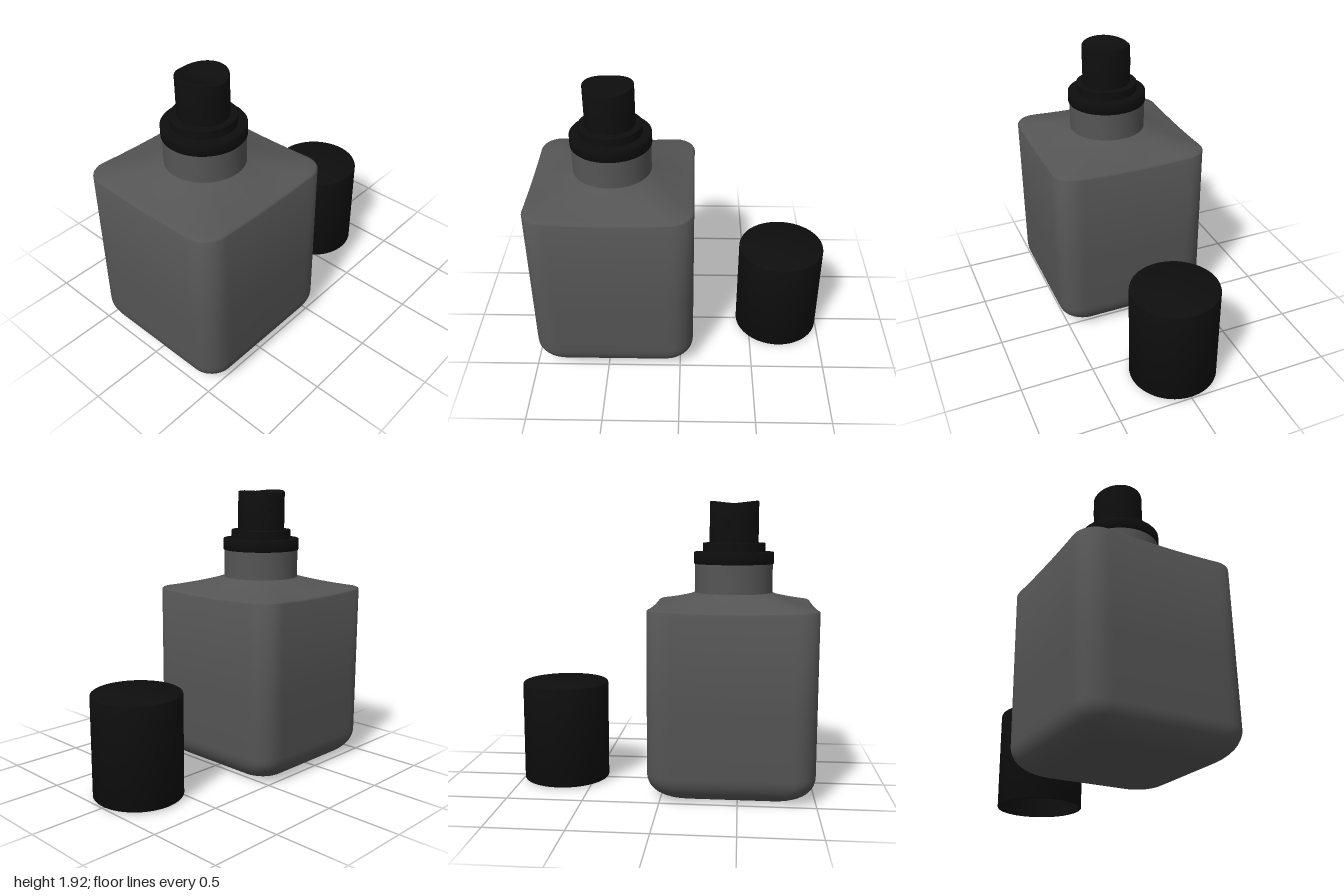
import * as THREE from 'three';
import { toCreasedNormals } from 'three/addons/utils/BufferGeometryUtils.js';

const BOTTLE_Z = 0.455, HALF = 0.543, NECK_R = 0.26;
const glass = new THREE.MeshStandardMaterial({ color: 0x555555, side: THREE.DoubleSide });
const black = new THREE.MeshStandardMaterial({ color: 0x0e0e0e, side: THREE.DoubleSide });

function part(name, geometry, material, crease = 0.7) {
  const mesh = new THREE.Mesh(toCreasedNormals(geometry, crease), material);
  mesh.name = name;
  return mesh;
}

// Turned part from [radius, height] pairs, outer side going up
function turned(points, segments = 64) {
  return new THREE.LatheGeometry(points.map(([r, y]) => new THREE.Vector2(r, y)), segments);
}

// Distance from the centre to the edge of a rounded square along an angle
function squareRadius(angle, half, corner) {
  let c = Math.abs(Math.cos(angle)), s = Math.abs(Math.sin(angle));
  if (s > c) [c, s] = [s, c];
  const k = half - corner;
  if ((half * s) / c <= k) return half / c;
  const m = k * (c + s);
  return m + Math.sqrt(m * m - 2 * k * k + corner * corner);
}

// Surface through stacked rings; at(ring, angle) gives [radius, height]
function loft(rings, at, n = 160) {
  const pos = [], index = [];
  rings.forEach((ring, i) => {
    for (let j = 0; j < n; j++) {
      const a = (j / n) * Math.PI * 2;
      const [r, y] = at(ring, a);
      pos.push(r * Math.cos(a), y, r * Math.sin(a));
      if (i === rings.length - 1) continue;
      const p = i * n + j, q = i * n + ((j + 1) % n);
      index.push(p, p + n, q, q, p + n, q + n);
    }
  });
  const g = new THREE.BufferGeometry();
  g.setAttribute('position', new THREE.Float32BufferAttribute(pos, 3));
  g.setIndex(index);
  return g;
}

function bottleBody() {
  // Each ring: inset from the walls, height, blend towards the round neck
  const rings = [[HALF - 0.16, 0, 0, 0.001]];
  const R = 0.18;
  for (let i = 0; i <= 10; i++) {
    const a = (i / 10) * Math.PI / 2;
    rings.push([R * (1 - Math.sin(a)), R * (1 - Math.cos(a)), 0]);
  }
  rings.push([0, 0.6, 0], [0, 1.215, 0], [0.004, 1.223, 0], [0.014, 1.229, 0]);
  // Shoulder sweeping up to the neck
  for (let i = 1; i <= 10; i++) {
    const t = i / 10;
    rings.push([0.014, 1.229 + 0.07 * t + 0.021 * t * t, t]);
  }
  return loft(rings, ([inset, y, t], a) => {
    const square = squareRadius(a, HALF - inset, 0.15);
    // The upper edge lifts a little towards the corners
    const lift = 0.014 * (square / HALF - 1) / 0.3 * (1 - t) * Math.max(0, Math.min(1, (y - 0.6) / 0.6));
    return [THREE.MathUtils.lerp(square, NECK_R, t), y + Math.max(0, lift)];
  });
}

function pushButton() {
  const r = 0.163, rows = [[r, 1.64], [r, 1.895], [r - 0.002, 1.901], [r - 0.007, 1.904]];
  for (let i = 11; i >= 0; i--) rows.push([(r - 0.007) * i / 12, 1.904]);
  const g = turned(rows);
  // Finger valley running sideways across the top
  const p = g.attributes.position;
  for (let i = 0; i < p.count; i++) {
    if (p.getY(i) > 1.89) p.setY(i, p.getY(i) + 0.021 * Math.pow(Math.abs(p.getZ(i)) / r, 1.2));
  }
  return g;
}

export function createModel() {
  const model = new THREE.Group();
  model.name = 'sprayBottleWithCap';

  const bottle = new THREE.Group();
  bottle.name = 'bottle';
  bottle.position.z = BOTTLE_Z;
  model.add(bottle);
  bottle.add(part('body', bottleBody(), glass));
  const base = new THREE.CircleGeometry(0.3, 48).rotateX(Math.PI / 2);
  bottle.add(part('base', base, glass));
  bottle.add(part('neck', turned([[NECK_R, 1.318], [NECK_R, 1.52]]), glass));

  // Stepped collar and push button
  bottle.add(part('collar', turned([
    [0.24, 1.51], [0.264, 1.51], [0.267, 1.514], [0.267, 1.585], [0.263, 1.59],
    [0.208, 1.59], [0.208, 1.646], [0.204, 1.65], [0.1, 1.65],
  ]), black));
  bottle.add(part('pushButton', pushButton(), black));

  // Spray opening on the button's side
  const nozzle = new THREE.Group();
  nozzle.name = 'nozzle';
  const angle = Math.PI + 0.35;
  nozzle.position.set(-0.162 * Math.cos(0.35), 1.79, -0.162 * Math.sin(0.35));
  nozzle.rotation.y = Math.PI / 2 - angle;
  nozzle.rotation.y = Math.atan2(nozzle.position.x, nozzle.position.z);
  nozzle.add(part('nozzleRim', new THREE.TorusGeometry(0.024, 0.005, 8, 28), black));
  const disc = part('nozzleDisc', new THREE.CircleGeometry(0.024, 28), black);
  disc.position.z = 0.002;
  nozzle.add(disc);
  bottle.add(nozzle);

  // Removed cap standing behind, hollow and open below
  const cap = part('cap', turned([
    [0, 0.66], [0.278, 0.66], [0.278, 0.01], [0.292, 0.01], [0.295, 0.014],
    [0.295, 0.675], [0.292, 0.685], [0.284, 0.69], [0, 0.69],
  ]), black);
  cap.position.z = -0.705;
  model.add(cap);

  return model;
}
